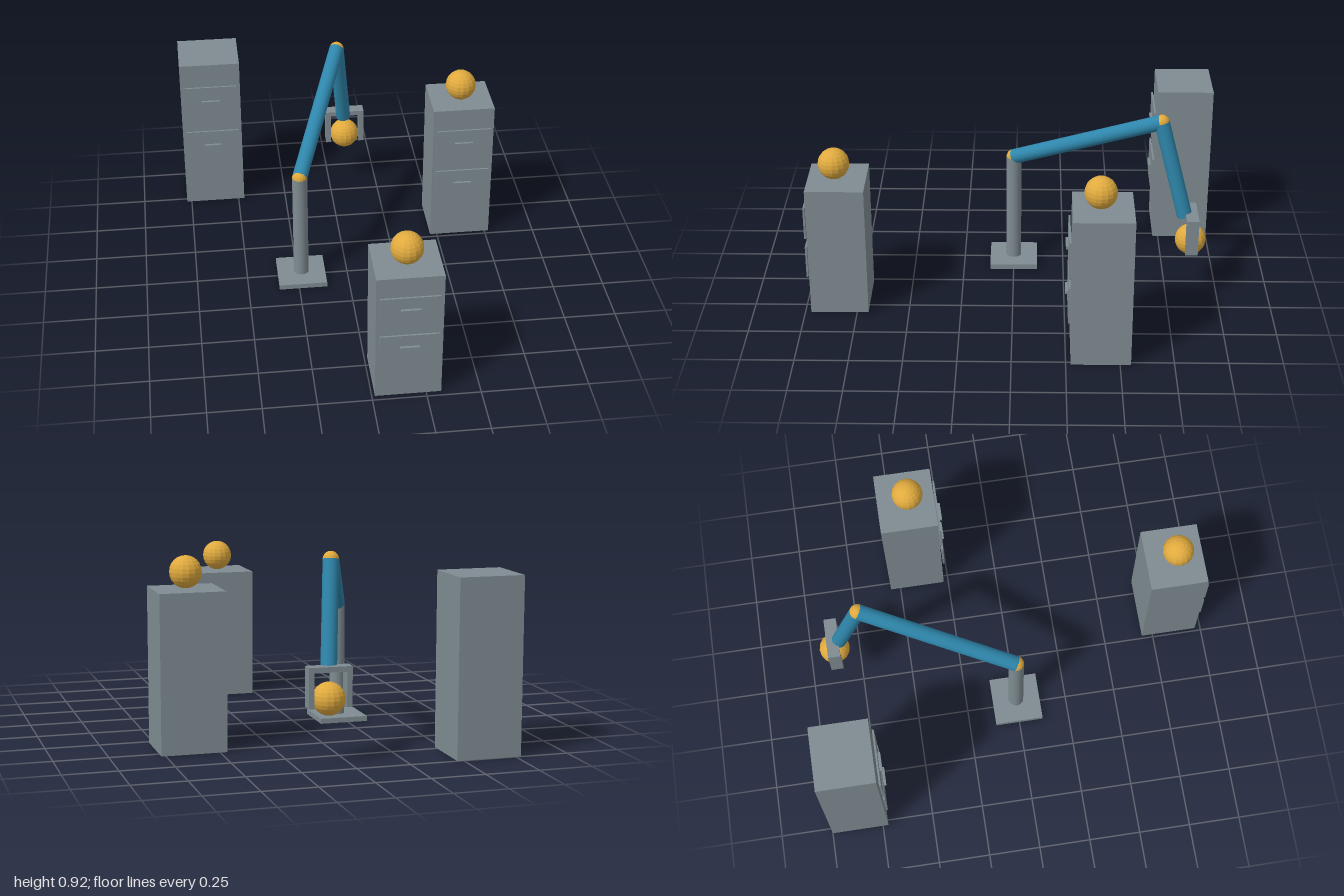
import * as THREE from 'three';

const make = (name, color) => {
  const m = new THREE.MeshStandardMaterial({ color });
  m.name = name;
  return m;
};

export function createModel() {
  const root = new THREE.Group();
  root.name = 'robotArmWithCabinets';
  const grey = make('steelGrey', 0x7f8c92);
  const blue = make('armBlue', 0x2e86ab);
  const gold = make('ballGold', 0xe0aa3e);
  gold.flatShading = true;

  const add = (parent, name, geo, mat, x, y, z) => {
    const mesh = new THREE.Mesh(geo, mat);
    mesh.name = name;
    mesh.position.set(x, y, z);
    parent.add(mesh);
    return mesh;
  };
  const box = (parent, name, w, h, d, x, y, z) =>
    add(parent, name, new THREE.BoxGeometry(w, h, d), grey, x, y, z);
  const ball = (parent, name, r, x, y, z) =>
    add(parent, name, new THREE.SphereGeometry(r, 16, 12), gold, x, y, z);

  // Straight round link between two points
  const link = (parent, name, a, b, r, mat) => {
    const dir = b.clone().sub(a);
    const mid = a.clone().add(b).multiplyScalar(0.5);
    const mesh = add(parent, name, new THREE.CylinderGeometry(r, r, dir.length(), 24), mat, mid.x, mid.y, mid.z);
    mesh.quaternion.setFromUnitVectors(new THREE.Vector3(0, 1, 0), dir.normalize());
  };

  // Two-drawer cabinet; drawer positions scale with its height
  const cabinet = (name, x, front, h, hasBall) => {
    const g = new THREE.Group();
    g.name = name;
    g.position.set(x, 0, front);
    box(g, 'body', 0.305, h, 0.277, 0, h / 2, -0.1385);
    [[0.408, 0.432], [0.727, 0.75]].forEach(([panelY, handleY]) => {
      box(g, 'drawerFront', 0.27, 0.247 * h, 0.009, 0, panelY * h, 0.0105);
      box(g, 'drawerHandle', 0.09, 0.013, 0.013, 0, handleY * h, 0.0215);
    });
    if (hasBall) ball(g, 'ball', 0.075, 0, h + 0.075, -0.126);
    root.add(g);
  };
  cabinet('tallCabinet', -0.622, -0.723, 0.82, false);
  cabinet('shortCabinet', 0.167, 0.972, 0.65, true);
  cabinet('mediumCabinet', 0.618, -0.273, 0.735, true);

  // Arm: base, post, two links and their joints
  const arm = new THREE.Group();
  arm.name = 'arm';
  root.add(arm);
  const foot = new THREE.Vector3(-0.23, 0.02, 0);
  const shoulder = new THREE.Vector3(-0.23, 0.575, 0);
  const elbow = new THREE.Vector3(0.028, 0.883, -0.705);
  const wrist = new THREE.Vector3(0.076, 0.41, -0.83);
  box(arm, 'basePlate', 0.236, 0.025, 0.236, -0.23, 0.0125, 0);
  link(arm, 'post', foot, shoulder, 0.037, grey);
  link(arm, 'upperArm', shoulder, elbow, 0.037, blue);
  link(arm, 'forearm', elbow, wrist, 0.037, blue);
  ball(arm, 'shoulderJoint', 0.037, shoulder.x, shoulder.y, shoulder.z);
  ball(arm, 'elbowJoint', 0.037, elbow.x, elbow.y, elbow.z);

  // Gripper: a crossbar with two side plates holding a ball
  const gripper = new THREE.Group();
  gripper.name = 'gripper';
  gripper.position.set(0.085, 0, -0.862);
  root.add(gripper);
  box(gripper, 'crossbar', 0.2, 0.025, 0.06, 0, 0.4215, 0);
  [-1, 1].forEach((s) => box(gripper, 'finger', 0.025, 0.182, 0.06, s * 0.0875, 0.342, 0));
  ball(gripper, 'heldBall', 0.075, 0, 0.288, 0);

  return root;
}
